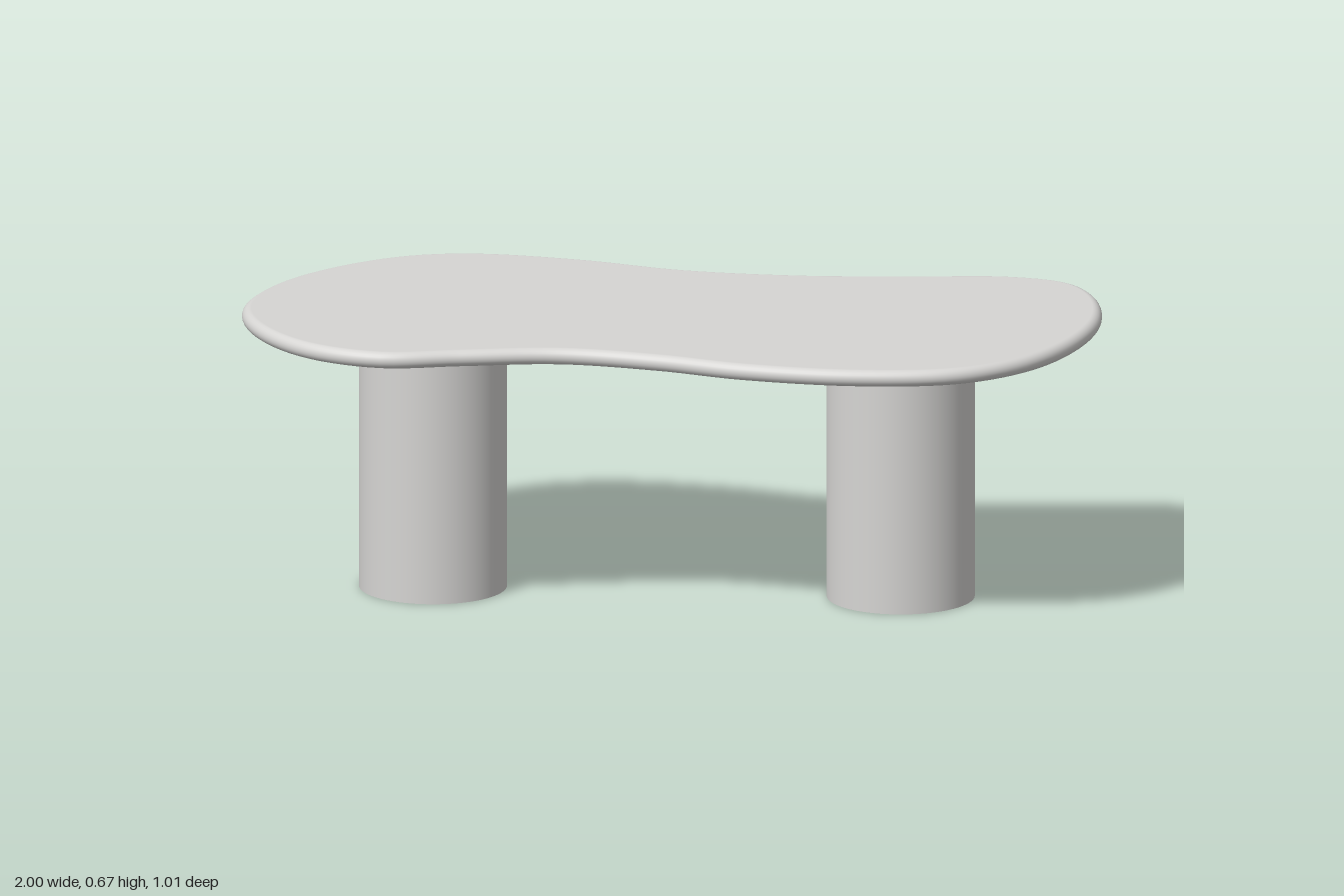
import * as THREE from 'three';

const BOTTOM = 0.627, TOP = 0.667, LEG_RADIUS = 0.1725, ROUNDING = 0.022;
const SEGMENTS = 160, RIM_STEPS = 12;

// Freeform outline of the tabletop as [x, z], counterclockwise from above
const OUTLINE = [
  [-0.5, -0.51], [-0.66, -0.475], [-0.82, -0.36], [-0.94, -0.2], [-1, 0.01],
  [-0.95, 0.2], [-0.82, 0.36], [-0.64, 0.43], [-0.45, 0.395], [-0.23, 0.36],
  [0, 0.4], [0.2, 0.465], [0.47, 0.5], [0.7, 0.465], [0.85, 0.355],
  [0.95, 0.18], [0.998, -0.05], [0.97, -0.25], [0.9, -0.36], [0.76, -0.405],
  [0.52, -0.388], [0.27, -0.375], [0, -0.4], [-0.25, -0.475],
];

// Rounded rim swept around the outline; also returns the inset contour for the flat faces
function buildRim() {
  const curve = new THREE.CatmullRomCurve3(
    OUTLINE.map(([x, z]) => new THREE.Vector3(x, 0, z)), true, 'centripetal');
  const middle = (TOP + BOTTOM) / 2, half = (TOP - BOTTOM) / 2;
  const positions = [], normals = [], indices = [], inset = [];
  const row = RIM_STEPS + 1;
  for (let i = 0; i < SEGMENTS; i++) {
    const p = curve.getPointAt(i / SEGMENTS);
    const t = curve.getTangentAt(i / SEGMENTS);
    const nx = -t.z, nz = t.x;
    inset.push([p.x - nx * ROUNDING, p.z - nz * ROUNDING]);
    for (let j = 0; j <= RIM_STEPS; j++) {
      const a = (j / RIM_STEPS - 0.5) * Math.PI;
      const c = Math.cos(a), s = Math.sin(a);
      const out = ROUNDING * (c - 1);
      positions.push(p.x + nx * out, middle + half * s, p.z + nz * out);
      normals.push(nx * c, s, nz * c);
      if (j < RIM_STEPS) {
        const k = i * row + j, n = ((i + 1) % SEGMENTS) * row + j;
        indices.push(k, n, n + 1, k, n + 1, k + 1);
      }
    }
  }
  const geometry = new THREE.BufferGeometry();
  geometry.setAttribute('position', new THREE.Float32BufferAttribute(positions, 3));
  geometry.setAttribute('normal', new THREE.Float32BufferAttribute(normals, 3));
  geometry.setIndex(indices);
  return { geometry, inset };
}

// Flat face filling the inset contour, facing up (1) or down (-1)
function buildFace(inset, y, facing) {
  const shape = new THREE.Shape(inset.map(([x, z]) => new THREE.Vector2(x, -z * facing)));
  return new THREE.ShapeGeometry(shape).rotateX(-facing * Math.PI / 2).translate(0, y, 0);
}

export function createModel() {
  const model = new THREE.Group();
  model.name = 'coffeeTable';
  const stone = new THREE.MeshStandardMaterial({ color: 0xd6d5d3 });
  stone.name = 'pale grey';

  const add = (parent, name, geometry) => {
    const mesh = new THREE.Mesh(geometry, stone);
    mesh.name = name;
    parent.add(mesh);
    return mesh;
  };

  // Tabletop
  const tabletop = new THREE.Group();
  tabletop.name = 'tabletop';
  model.add(tabletop);
  const { geometry, inset } = buildRim();
  add(tabletop, 'roundedRim', geometry);
  add(tabletop, 'topSurface', buildFace(inset, TOP, 1));
  add(tabletop, 'underside', buildFace(inset, BOTTOM, -1));

  // Two cylindrical legs
  const legGeometry = new THREE.CylinderGeometry(LEG_RADIUS, LEG_RADIUS, BOTTOM, 64);
  for (const [name, x] of [['rightLeg', -0.555], ['leftLeg', 0.537]]) {
    add(model, name, legGeometry).position.set(x, BOTTOM / 2, 0.01);
  }
  return model;
}
